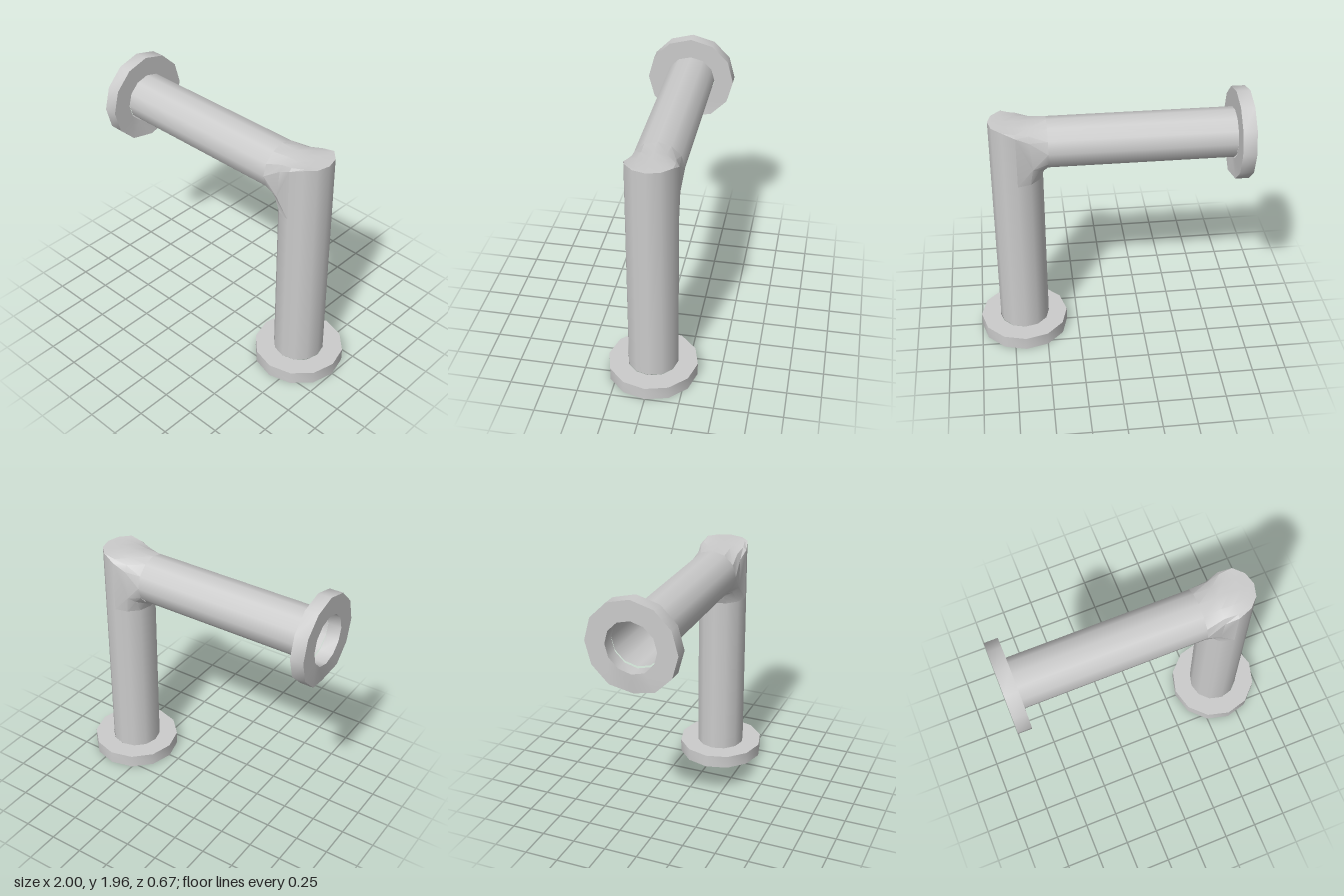
import * as THREE from 'three';
import { toCreasedNormals } from 'three/addons/utils/BufferGeometryUtils.js';

const SIDES = 12, R = 0.187, PX = 0.663, PY = 1.63, TOP = 1.81, BEND = 1.38, END = 0.44;
const material = new THREE.MeshStandardMaterial({ color: 0xcccccc, side: THREE.DoubleSide });

function add(group, name, geometry) {
  const mesh = new THREE.Mesh(geometry, material);
  mesh.name = name;
  group.add(mesh);
  return mesh;
}

// Ring with a hole, standing on y = 0
function flangeGeometry() {
  const profile = [[R, 0], [0.333, 0], [0.333, 0.1], [R, 0.1], [R, 0]];
  return new THREE.LatheGeometry(profile.map(p => new THREE.Vector2(...p)), SIDES);
}

// Triangles between rows of points
function sheet(rows, out) {
  for (let i = 0; i < rows.length - 1; i++) {
    for (let j = 0; j < rows[i].length - 1; j++) {
      const a = rows[i][j], b = rows[i + 1][j], c = rows[i + 1][j + 1], d = rows[i][j + 1];
      out.push(a, b, c, a, c, d);
    }
  }
}

function elbowGeometry() {
  const tris = [];
  const steps = [0, 1, 2, 3, 4, 5, 6];

  // Top saddle: round pipe back flattening into the end cap [x, edge height, half width]
  const stations = [[END, PY, R], [0.57, 1.72, 0.172], [PX, 1.77, R],
    [0.757, TOP, 0.163], [0.825, TOP, 0.094], [0.85, TOP, 0]];
  sheet(stations.map(([x, y, w]) => steps.map(k => {
    const t = k * Math.PI / 6;
    return [x, y + (TOP - y) * Math.sin(t), w * Math.cos(t)];
  })), tris);

  // Underside fillet between the two pipes
  const low = steps.map(k => {
    const t = k * Math.PI / 6;
    return [PX - R * Math.sin(t), BEND, R * Math.cos(t)];
  });
  const high = steps.map(k => {
    const t = -Math.PI / 6 - k * Math.PI / 9;
    return [END, PY + 0.18 * Math.sin(t), R * Math.cos(t)];
  });
  const middle = steps.map(k => {
    const bulge = 0.045 * Math.abs(Math.cos(k * Math.PI / 6));
    return low[k].map((v, n) => (v + high[k][n]) / 2 + (n === 1 ? bulge : 0));
  });
  sheet([low, middle, high], tris);

  // Side cheeks
  const cheek = [middle[0], low[0], [PX, 1.77, R], [0.57, 1.72, 0.172], [END, PY, R], high[0]];
  for (const s of [1, -1]) {
    const p = cheek.map(([x, y, z]) => [x, y, s * z]);
    for (let i = 1; i < p.length - 1; i++) {
      tris.push(p[0], ...(s > 0 ? [p[i], p[i + 1]] : [p[i + 1], p[i]]));
    }
  }
  const geometry = new THREE.BufferGeometry();
  geometry.setAttribute('position', new THREE.Float32BufferAttribute(tris.flat(), 3));
  return toCreasedNormals(geometry, Math.PI / 7);
}

export function createModel() {
  const group = new THREE.Group();
  group.name = 'pipeElbow';

  // Upright pipe, with its outer half carried up past the bend
  add(group, 'uprightPipe', new THREE.CylinderGeometry(R, R, BEND - 0.1, SIDES, 1, true))
    .position.set(PX, (BEND + 0.1) / 2, 0);
  const half = new THREE.CylinderGeometry(R, R, TOP - BEND, SIDES / 2, 1, true, 0, Math.PI);
  const hp = half.attributes.position;
  for (let i = 0; i < hp.count; i++) {
    if (hp.getY(i) > 0 && hp.getX(i) < 0.01) hp.setY(i, hp.getY(i) - 0.04);
  }
  add(group, 'uprightPipeOuterHalf', half).position.set(PX, (TOP + BEND) / 2, 0);

  // Level pipe
  const level = add(group, 'levelPipe', new THREE.CylinderGeometry(1, 1, END + 0.9, SIDES, 1, true));
  level.scale.set(0.18, 1, R);
  level.rotation.z = Math.PI / 2;
  level.position.set((END - 0.9) / 2, PY, 0);

  add(group, 'elbow', elbowGeometry());

  // Flanges; the wall flange is slightly bent at its lowest corner
  add(group, 'floorFlange', toCreasedNormals(flangeGeometry(), Math.PI / 4)).position.x = 0.667;
  const wall = flangeGeometry(), wp = wall.attributes.position;
  for (let i = 0; i < wp.count; i++) {
    if (wp.getX(i) > 0.32) wp.setXYZ(i, wp.getX(i) - 0.2 * wp.getY(i), wp.getY(i) + 0.02, wp.getZ(i));
  }
  const wallFlange = add(group, 'wallFlange', toCreasedNormals(wall, Math.PI / 4));
  wallFlange.rotation.z = -Math.PI / 2;
  wallFlange.position.set(-1, 1.622, 0);
  return group;
}
